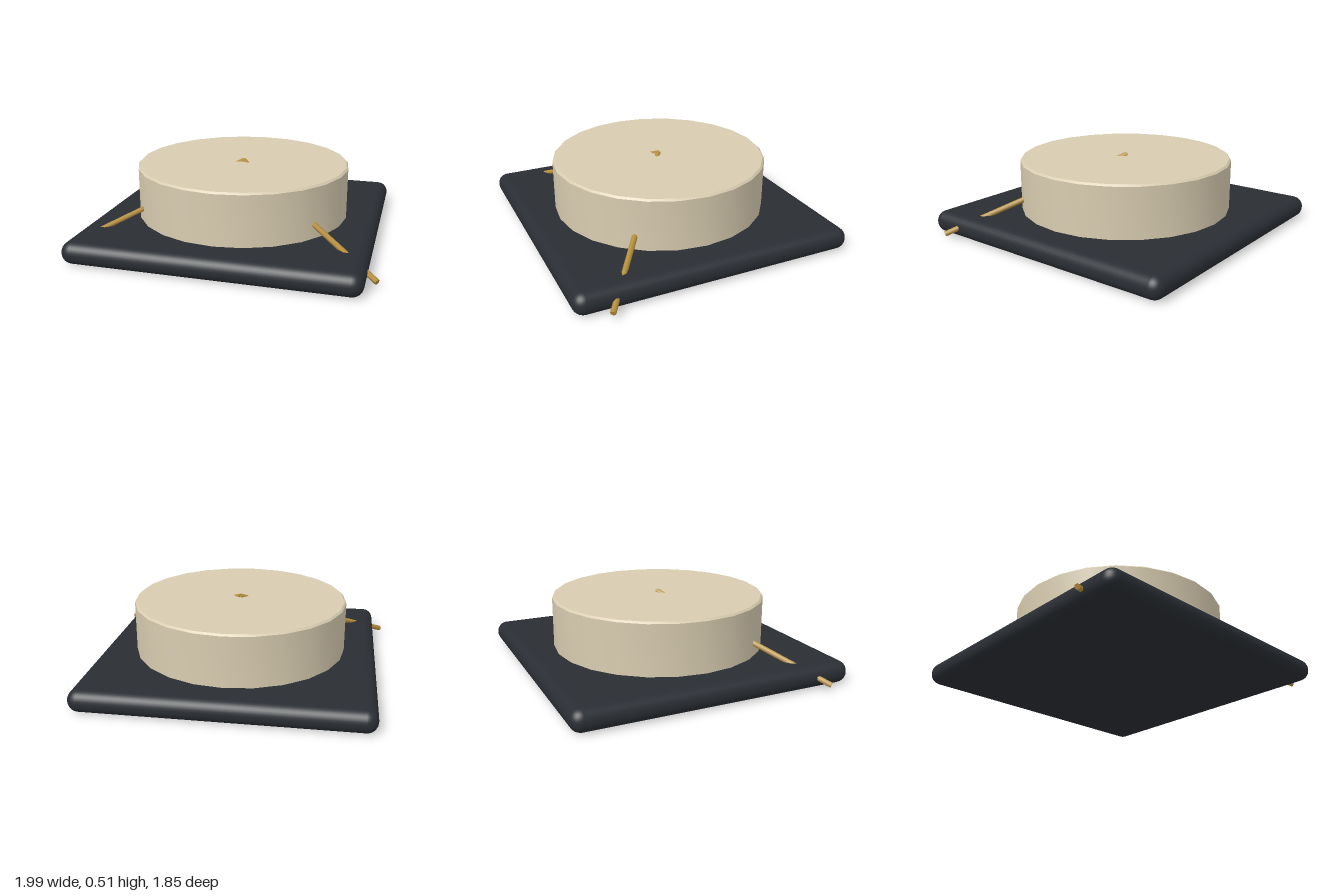
import * as THREE from 'three';
import { RoundedBoxGeometry } from 'three/addons/geometries/RoundedBoxGeometry.js';
import { toCreasedNormals } from 'three/addons/utils/BufferGeometryUtils.js';

const material = (color) => new THREE.MeshStandardMaterial({ color });

function addMesh(group, name, geometry, mat) {
  const mesh = new THREE.Mesh(geometry, mat);
  mesh.name = name;
  group.add(mesh);
  return mesh;
}

// Straight six-sided rod between two points
function addRod(group, name, from, to, radius, mat) {
  const direction = to.clone().sub(from);
  const geometry = new THREE.CylinderGeometry(radius, radius, direction.length(), 6);
  const rod = addMesh(group, name, geometry, mat);
  rod.position.copy(from).add(to).multiplyScalar(0.5);
  rod.quaternion.setFromUnitVectors(new THREE.Vector3(0, 1, 0), direction.normalize());
}

export function createModel() {
  const model = new THREE.Group();
  const dark = material(0x2a2e34);
  const cream = material(0xd8ccb0);
  const brass = material(0xb8903c);

  // Square base slab with rounded edges
  const base = addMesh(model, 'base', new RoundedBoxGeometry(1.85, 0.145, 1.85, 4, 0.07), dark);
  base.position.y = 0.0725;

  // Round drum with a small bevel on its rims
  const profile = [[0, 0.1], [0.7, 0.1], [0.712, 0.112], [0.712, 0.477], [0.7, 0.489], [0, 0.489]]
    .map(([r, y]) => new THREE.Vector2(r, y));
  addMesh(model, 'drum', toCreasedNormals(new THREE.LatheGeometry(profile, 24), 0.5), cream);

  // Two rods from the drum's centre down past the front corners
  for (const [side, name] of [[1, 'leftRod'], [-1, 'rightRod']]) {
    addRod(model, name, new THREE.Vector3(0, 0.493, 0),
      new THREE.Vector3(side * 0.985, 0.043, 0.73), 0.018, brass);
  }
  return model;
}
